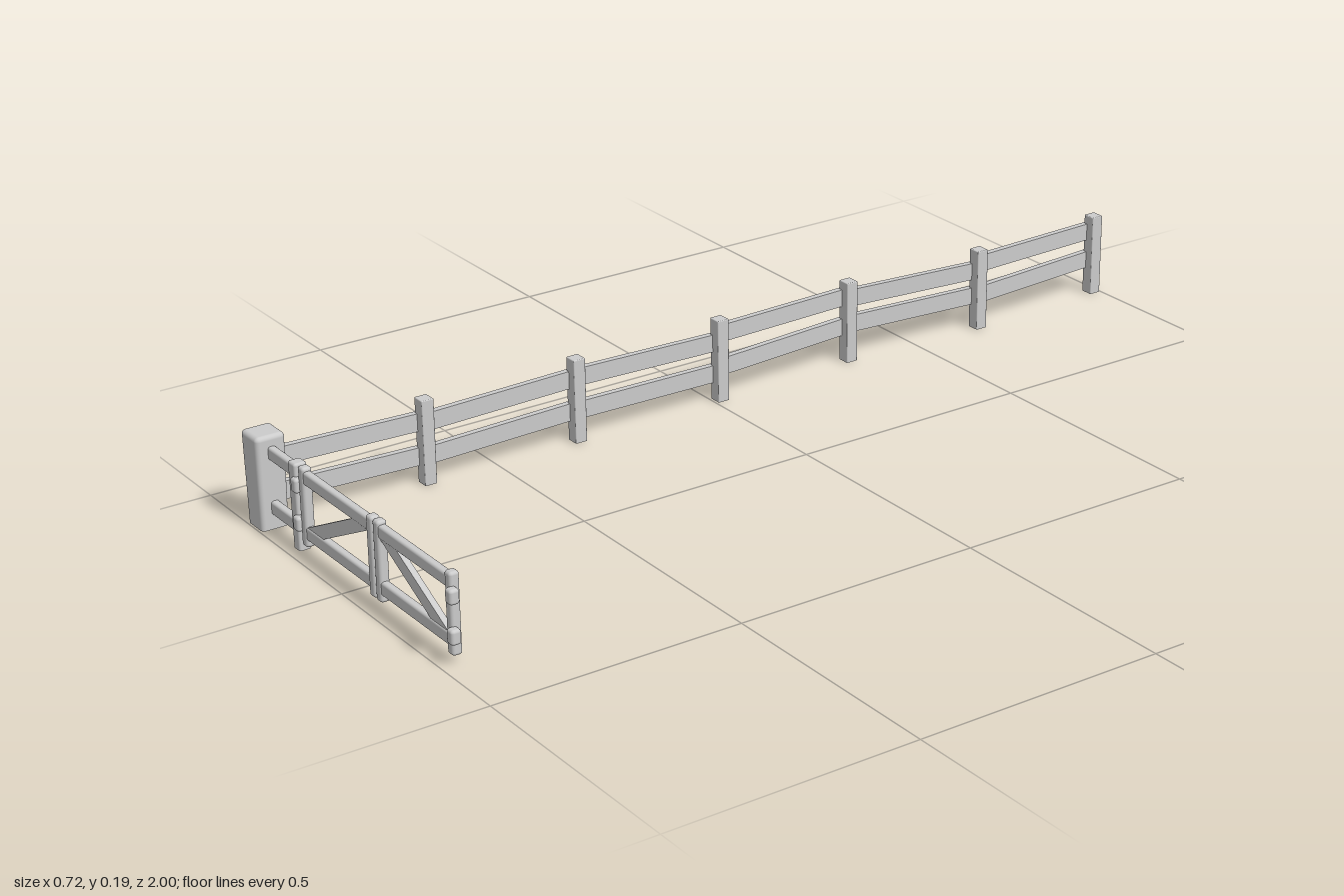
import * as THREE from 'three';
import { RoundedBoxGeometry } from 'three/addons/geometries/RoundedBoxGeometry.js';

const material = new THREE.MeshStandardMaterial({ color: 0xcccccc });

function add(group, name, geometry, x = 0, y = 0, z = 0) {
  const mesh = new THREE.Mesh(geometry, material);
  mesh.name = name;
  mesh.position.set(x, y, z);
  group.add(mesh);
  return mesh;
}

// Soft-edged block
function block(group, name, w, h, d, r, x, y, z) {
  return add(group, name, new RoundedBoxGeometry(w, h, d, 3, r), x, y, z);
}

// Soft-topped post on the ground with a flat foot, narrowing to `foot` of its width at the base
function post(group, name, w, h, d, r, foot, x, z) {
  const g = new RoundedBoxGeometry(w, h + r, d, 3, r);
  g.translate(0, (h - r) / 2, 0);
  const p = g.attributes.position;
  for (let i = 0; i < p.count; i++) {
    const y = Math.max(0, p.getY(i));
    const s = foot + (1 - foot) * (y / h);
    p.setXYZ(i, p.getX(i) * s, y, p.getZ(i) * s);
  }
  return add(group, name, g, x, 0, z);
}

// Plank spanning two points
function plank(group, name, a, b, h, t) {
  const from = new THREE.Vector3(...a), to = new THREE.Vector3(...b);
  const mesh = add(group, name, new THREE.BoxGeometry(t, h, from.distanceTo(to)));
  mesh.position.copy(from).lerp(to, 0.5);
  mesh.lookAt(to);
  return mesh;
}

// Slanted brace in the gate plane, its ends cut level against the two rails
function brace(group, name, x0, x1, z) {
  const dir = Math.sign(x1 - x0), run = 0.058 * dir, lo = 0.05, hi = 0.143, d = 0.012;
  const shape = new THREE.Shape();
  shape.moveTo(x0, lo);
  shape.lineTo(x0 + run, lo);
  shape.lineTo(x1, hi);
  shape.lineTo(x1 - run, hi);
  shape.closePath();
  return add(group, name, new THREE.ExtrudeGeometry(shape, { depth: d, bevelEnabled: false }), 0, 0, z - d / 2);
}

export function createModel() {
  const model = new THREE.Group();
  const gateZ = 0.967, railLevels = [[0.151, 0.026], [0.0425, 0.027]];

  // Corner post
  post(model, 'cornerPost', 0.061, 0.185, 0.06, 0.009, 0.92, -0.33, 0.968);

  // Long fence: posts with two rows of slightly uneven planks on their outer side
  const fence = new THREE.Group();
  fence.name = 'fence';
  model.add(fence);
  const posts = [[-0.314, 0.645], [-0.312, 0.315], [-0.314, -0.018], [-0.327, -0.342], [-0.312, -0.665], [-0.326, -0.985]];
  const upper = [[0.125, 0.122], [0.118, 0.126], [0.127, 0.119], [0.135, 0.135], [0.13, 0.122], [0.135, 0.135]];
  const lower = [[0.056, 0.053], [0.05, 0.059], [0.058, 0.054], [0.064, 0.072], [0.074, 0.068], [0.066, 0.073]];
  let prev = [-0.326, 0.96];
  posts.forEach(([x, z], i) => {
    post(fence, 'fencePost', 0.028, 0.172, 0.026, 0.002, 0.97, x, z);
    for (const [name, row] of [['upperPlank', upper], ['lowerPlank', lower]]) {
      plank(fence, name, [prev[0] - 0.012, row[i][0], prev[1]], [x - 0.012, row[i][1], z], 0.036, 0.013);
    }
    prev = [x, z];
  });

  // Short panel between the corner post and the gate post
  post(model, 'gatePost', 0.026, 0.171, 0.026, 0.005, 0.9, -0.204, gateZ);
  for (const [y, h] of railLevels) block(model, 'panelRail', 0.12, h, 0.016, 0.005, -0.26, y, gateZ);

  // Two gate leaves: stiles, rails, a brace and hinges on the outer stile
  const leaves = [
    { name: 'rightGate', outer: -0.1765, inner: 0.0685, hinge: -0.1905 },
    { name: 'leftGate', outer: 0.3335, inner: 0.0915, hinge: 0.348 },
  ];
  for (const { name, outer, inner, hinge } of leaves) {
    const gate = new THREE.Group();
    gate.name = name;
    model.add(gate);
    for (const x of [outer, inner]) block(gate, 'stile', 0.02, 0.156, 0.02, 0.006, x, 0.093, gateZ);
    for (const [y, h] of railLevels) {
      block(gate, 'rail', Math.abs(inner - outer), h, 0.016, 0.005, (inner + outer) / 2, y, gateZ);
    }
    brace(gate, 'brace', outer, inner, gateZ);
    for (const y of [0.132, 0.057]) block(gate, 'hinge', 0.02, 0.029, 0.02, 0.006, hinge, y, 0.976);
  }
  return model;
}
